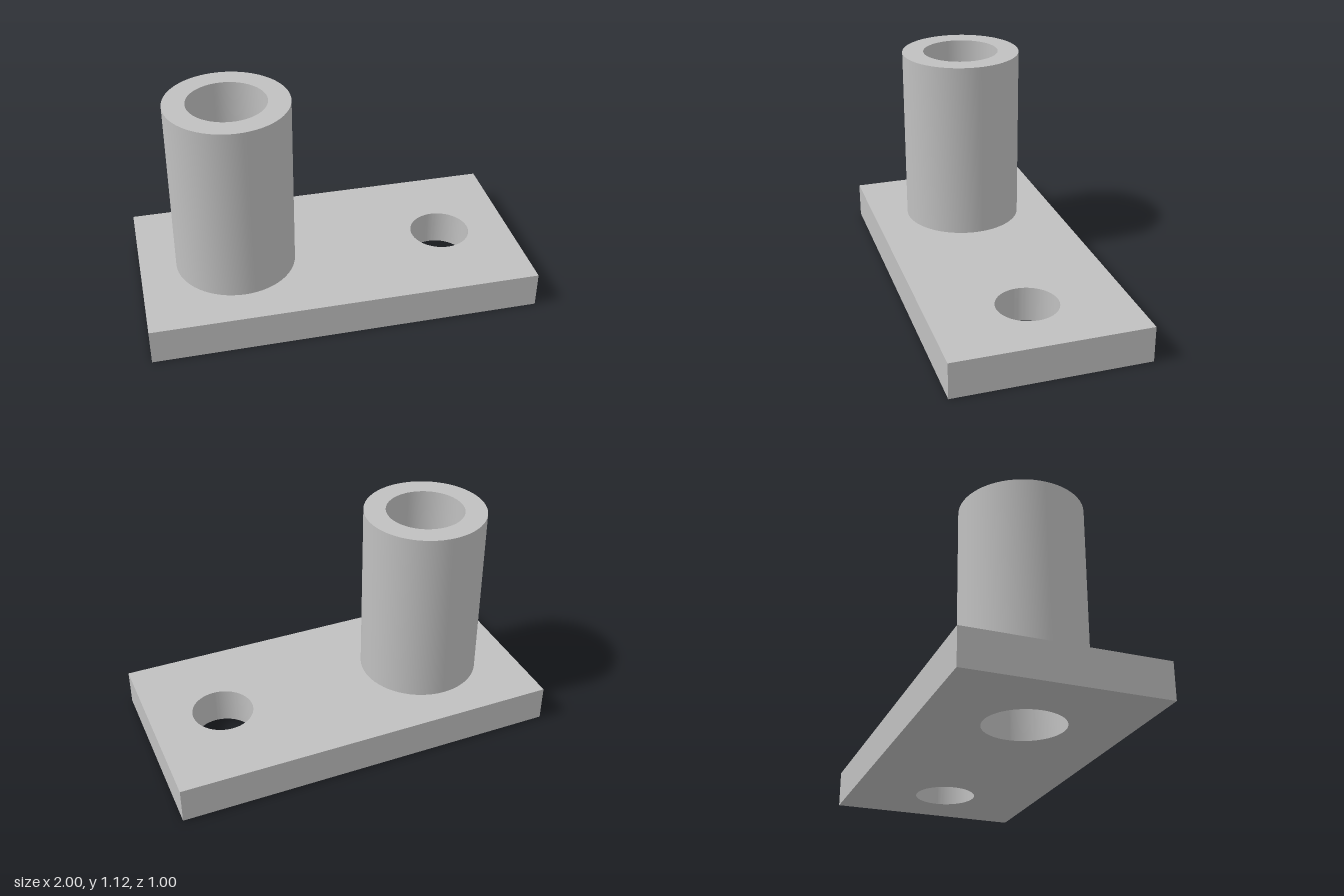
import * as THREE from 'three';
import { toCreasedNormals } from 'three/addons/utils/BufferGeometryUtils.js';

const PLATE = { length: 2, depth: 1, height: 0.1875 };
const TUBE = { x: -0.5, outer: 0.3125, bore: 0.2, top: 1.125 };
const HOLE = { x: 0.625, radius: 0.1575 };

export function createModel() {
  const model = new THREE.Group();
  model.name = 'mountingBracket';

  const metal = new THREE.MeshStandardMaterial({ color: 0xc0c0c0 });
  metal.name = 'grey metal';

  const addPart = (name, geometry) => {
    const mesh = new THREE.Mesh(toCreasedNormals(geometry, 0.5), metal);
    mesh.name = name;
    model.add(mesh);
    return mesh;
  };

  // Base plate, pierced by the tube bore and the bolt hole
  const w = PLATE.length / 2, d = PLATE.depth / 2;
  const outline = new THREE.Shape([
    new THREE.Vector2(-w, -d), new THREE.Vector2(w, -d),
    new THREE.Vector2(w, d), new THREE.Vector2(-w, d),
  ]);
  for (const [x, radius] of [[TUBE.x, TUBE.bore], [HOLE.x, HOLE.radius]]) {
    outline.holes.push(new THREE.Path().absarc(x, 0, radius, 0, Math.PI * 2, true));
  }
  const plate = new THREE.ExtrudeGeometry(outline, {
    depth: PLATE.height, bevelEnabled: false, curveSegments: 64,
  });
  addPart('basePlate', plate.rotateX(-Math.PI / 2));

  // Upright tube: outer wall, top rim and bore, open where it meets the plate
  const profile = [
    [TUBE.outer, PLATE.height], [TUBE.outer, TUBE.top],
    [TUBE.bore, TUBE.top], [TUBE.bore, PLATE.height],
  ].map(([r, y]) => new THREE.Vector2(r, y));
  addPart('uprightTube', new THREE.LatheGeometry(profile, 64)).position.x = TUBE.x;

  return model;
}
